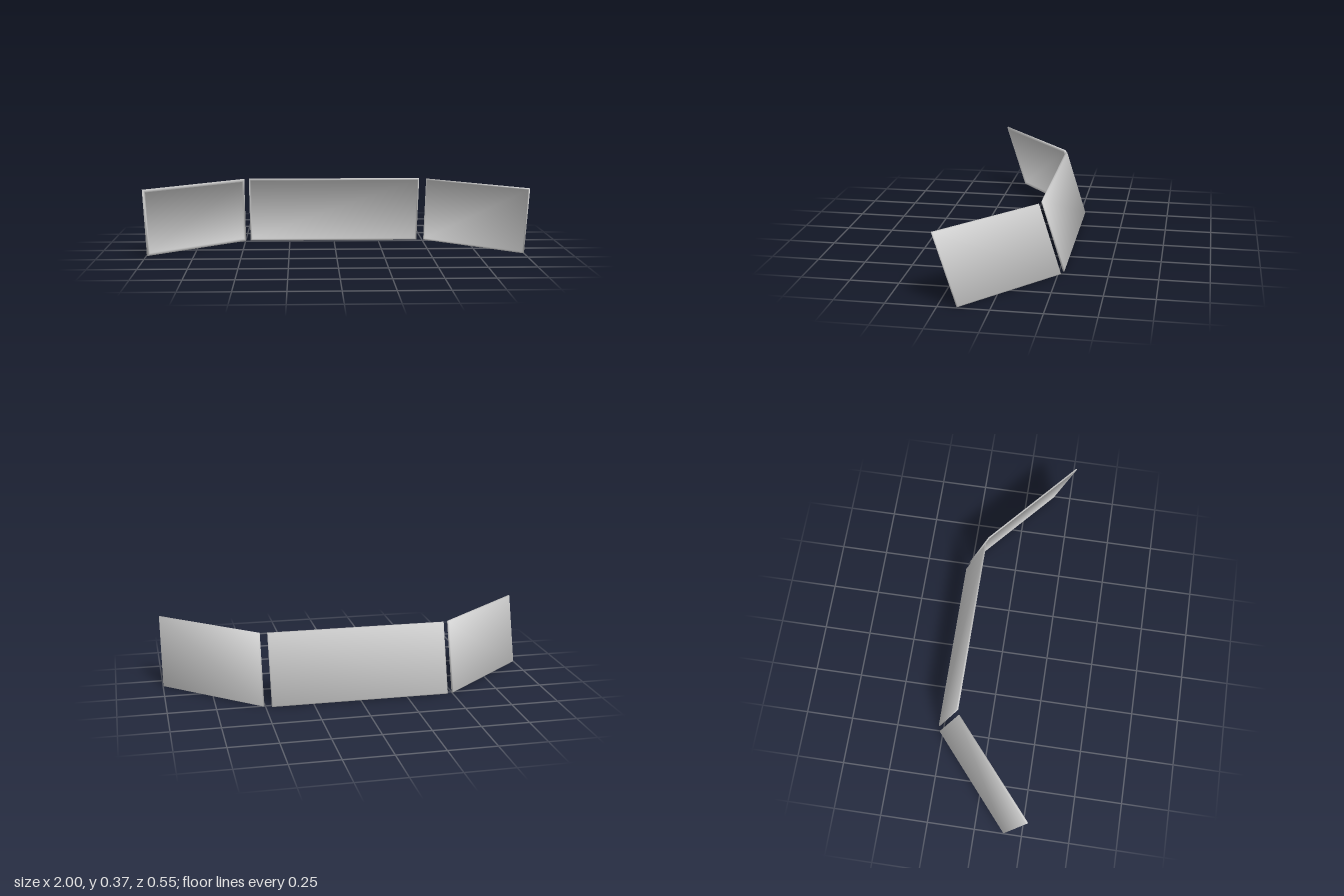
import * as THREE from 'three';

// Ring rules from back to front: [edge inset, depth fraction, outward normal, forward normal]
const rings = (rim) => [
  [0.005, 0, 0.55, -1],
  [0, 0.3, 1, -0.4],
  [0, 0.75, 1, 0.4],
  [0.003, 1, 0.5, 1],
  [rim - 0.003, 1, -0.3, 1],
  [rim, 0.55, -0.55, 1],
];

// Corners, counter-clockwise seen from the front
const corners = [[-1, -1], [1, -1], [1, 1], [-1, 1]];

// Thin leaning panel with a raised rim and a recessed front, softly shaded
function panel(name, origin, along, up, thickness, rim) {
  const o = new THREE.Vector3(...origin);
  const u = new THREE.Vector3(...along);
  const v = new THREE.Vector3(...up);
  const n = u.clone().cross(v).normalize();
  const uDir = u.clone().normalize();
  const vDir = v.clone().normalize();
  const centre = o.clone().addScaledVector(u, 0.5).addScaledVector(v, 0.5);
  const positions = [], normals = [], index = [];
  const profile = rings(rim);

  profile.forEach(([inset, depth, out, forward], r) => {
    corners.forEach(([su, sv], i) => {
      const p = centre.clone()
        .addScaledVector(uDir, su * (u.length() / 2 - inset))
        .addScaledVector(vDir, sv * (v.length() / 2 - inset))
        .addScaledVector(n, depth * thickness);
      const normal = n.clone().multiplyScalar(forward)
        .addScaledVector(uDir, su * out)
        .addScaledVector(vDir, sv * out)
        .normalize();
      positions.push(...p.toArray());
      normals.push(...normal.toArray());
      if (r < profile.length - 1) {
        const j = (i + 1) % 4;
        const a = r * 4 + i, b = r * 4 + j;
        index.push(a, b, b + 4, a, b + 4, a + 4);
      }
    });
  });

  // Back face and recessed front face
  const f = (profile.length - 1) * 4;
  index.push(0, 2, 1, 0, 3, 2, f, f + 1, f + 2, f, f + 2, f + 3);

  const geometry = new THREE.BufferGeometry();
  geometry.setAttribute('position', new THREE.Float32BufferAttribute(positions, 3));
  geometry.setAttribute('normal', new THREE.Float32BufferAttribute(normals, 3));
  geometry.setIndex(index);
  const mesh = new THREE.Mesh(geometry, new THREE.MeshStandardMaterial({ color: 0xcccccc }));
  mesh.name = name;
  return mesh;
}

export function createModel() {
  const group = new THREE.Group();
  group.name = 'threePanelScreen';
  group.add(
    panel('centrePanel', [-0.473, 0.004, -0.28], [0.942, 0, 0], [0, 0.366, 0.113], 0.01, 0.012),
    panel('leftPanel', [0.51, 0.005, -0.268], [0.49, 0, 0.42], [0, 0.363, 0.113], 0.008, 0.01),
    panel('rightPanel', [-1, 0.004, 0.154], [0.497, 0, -0.425], [0, 0.366, 0.115], 0.012, 0.017),
  );
  return group;
}
